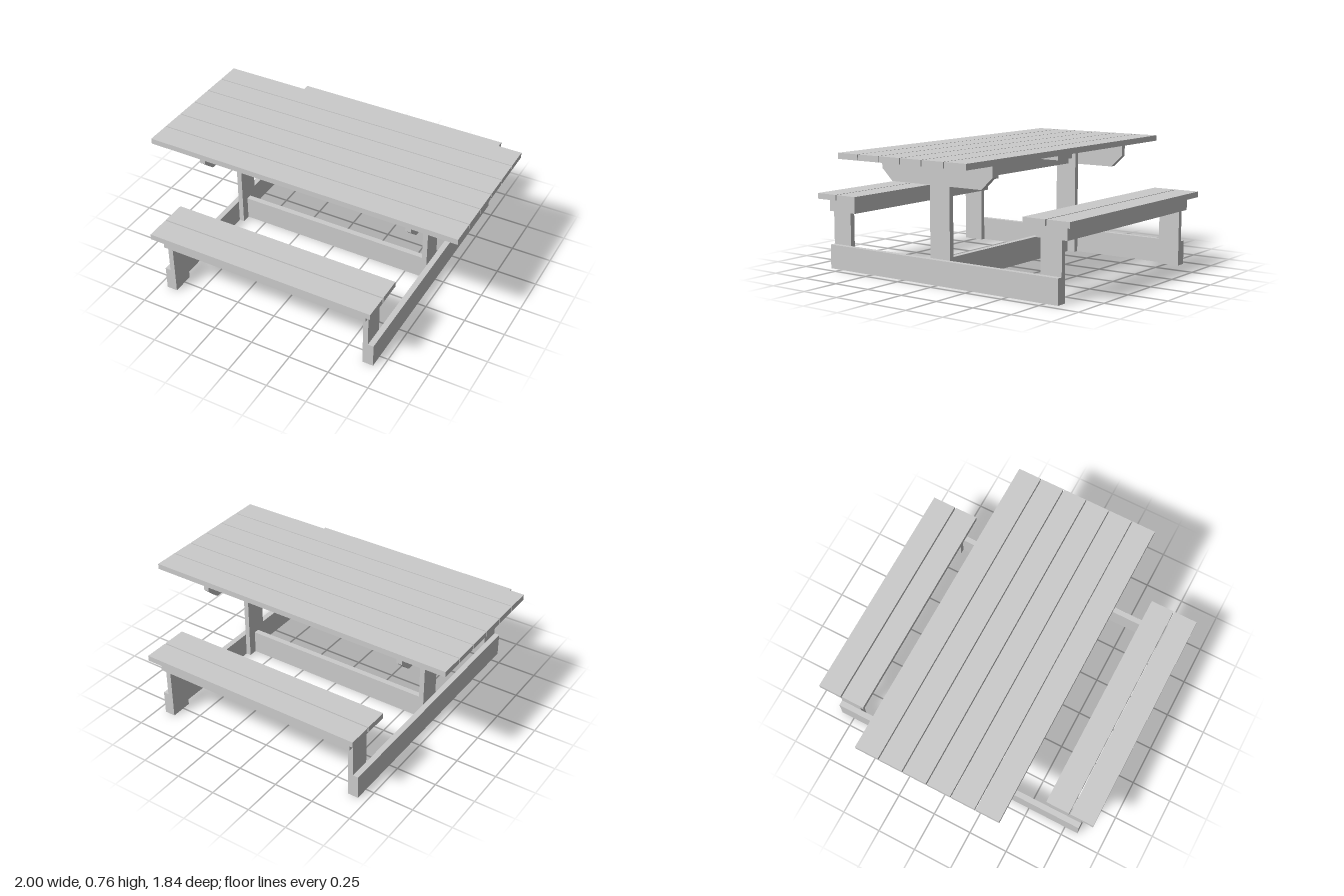
import * as THREE from 'three';

const material = new THREE.MeshStandardMaterial({ color: 0xcccccc, flatShading: true });

// Box given by its [min, max] range on each axis
function board(parent, name, [x0, x1], [y0, y1], [z0, z1]) {
  const mesh = new THREE.Mesh(new THREE.BoxGeometry(x1 - x0, y1 - y0, z1 - z0), material);
  mesh.position.set((x0 + x1) / 2, (y0 + y1) / 2, (z0 + z1) / 2);
  mesh.name = name;
  parent.add(mesh);
}

// Range mirrored to the side s (+1 or -1)
const side = (s, a, b) => (s > 0 ? [a, b] : [-b, -a]);

export function createModel() {
  const model = new THREE.Group();
  model.name = 'picnicTable';

  // Table top: six planks with narrow gaps, and a batten underneath
  const top = new THREE.Group();
  top.name = 'tableTop';
  model.add(top);
  const pitch = 0.1544, width = 0.148;
  for (let i = 0; i < 6; i++) {
    const z = (i - 2.5) * pitch;
    board(top, 'topPlank', [-1, 1], [0.725, 0.76], [z - width / 2, z + width / 2]);
  }
  board(top, 'centreBatten', [-0.073, 0.073], [0.69, 0.725], [-0.41, 0.41]);

  // Long beams joining the two central posts
  board(model, 'upperBeam', [-0.63, 0.63], [0.58, 0.725], [-0.0175, 0.0175]);
  board(model, 'lowerBeam', [-0.63, 0.63], [0, 0.148], [-0.0175, 0.0175]);

  // Outline of the chamfered table support, drawn as (z, y)
  const outline = new THREE.Shape([
    [-0.325, 0.578], [0.325, 0.578], [0.402, 0.65], [0.402, 0.725], [-0.402, 0.725], [-0.402, 0.65],
  ].map(([z, y]) => new THREE.Vector2(z, y)));

  // End frames: ground runner, post and table support
  for (const s of [-1, 1]) {
    const frame = new THREE.Group();
    frame.name = s > 0 ? 'leftFrame' : 'rightFrame';
    model.add(frame);
    board(frame, 'groundRunner', side(s, 0.662, 0.697), [0, 0.148], [-0.835, 0.835]);
    board(frame, 'centrePost', side(s, 0.63, 0.662), [0, 0.725], [-0.072, 0.072]);

    const support = new THREE.Mesh(
      new THREE.ExtrudeGeometry(outline, { depth: 0.035, bevelEnabled: false }), material);
    support.name = 'tableSupport';
    support.rotation.y = Math.PI / 2;
    support.position.x = s > 0 ? 0.662 : -0.697;
    frame.add(support);
  }

  // Benches: two planks on two rails, carried by a leg at each end
  for (const s of [-1, 1]) {
    const bench = new THREE.Group();
    bench.name = s > 0 ? 'frontBench' : 'backBench';
    model.add(bench);
    for (const [a, b] of [[0.614, 0.762], [0.77, 0.918]])
      board(bench, 'seatPlank', [-0.713, 0.713], [0.425, 0.46], side(s, a, b));
    for (const [a, b] of [[0.663, 0.698], [0.835, 0.87]])
      board(bench, 'seatRail', [-0.662, 0.662], [0.348, 0.425], side(s, a, b));
    for (const e of [-1, 1])
      board(bench, 'benchLeg', side(e, 0.63, 0.662), [0, 0.425], side(s, 0.698, 0.835));
  }

  return model;
}
